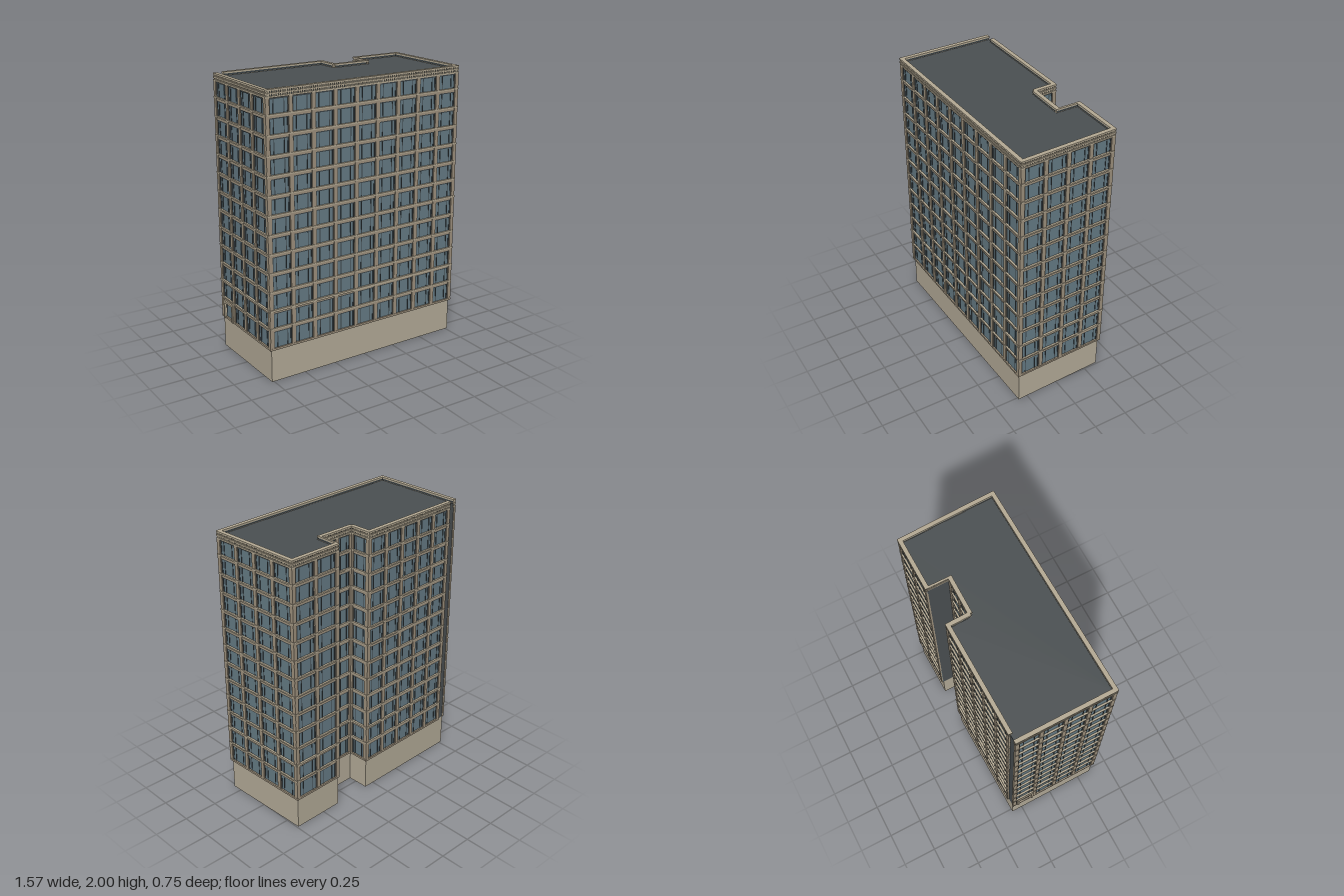
import * as THREE from 'three';
import { mergeGeometries } from 'three/addons/utils/BufferGeometryUtils.js';

const mat = (color) => new THREE.MeshStandardMaterial({ color, flatShading: true });
const mats = {
  base: mat(0xb5ac99), stone: mat(0x9f927e), trim: mat(0xb5aa94),
  glass: mat(0x667c86), frame: mat(0x3c4448), roof: mat(0x4b5052),
};

// footprint corners [x, z], walked from front left round the building
const plan = [
  [-0.765, 0.355], [0.766, 0.32], [0.74, -0.357], [0.357, -0.352],
  [0.357, -0.192], [0.083, -0.192], [0.078, -0.348], [-0.77, -0.333],
];
const backEnd = [-0.715, -0.334]; // the back facade stops short of the corner

const FLOORS = 13, PITCH = 0.1315, FIRST = 0.383, BOTTOM = 0.235, ROOF = 1.975;
const OUT = 0.014; // how far the facade stands proud of the core

// vertical prism over the footprint
function prism(name, y0, y1, material) {
  const shape = new THREE.Shape(plan.map(([x, z]) => new THREE.Vector2(x, -z)));
  const g = new THREE.ExtrudeGeometry(shape, { depth: y1 - y0, bevelEnabled: false });
  g.rotateX(-Math.PI / 2).translate(0, y0, 0);
  const m = new THREE.Mesh(g, material);
  m.name = name;
  return m;
}

// collects boxes (given by their limits) and merges them into one mesh
function boxes() {
  const list = [];
  return {
    add(x0, x1, y0, y1, z0, z1) {
      list.push(new THREE.BoxGeometry(x1 - x0, y1 - y0, z1 - z0)
        .translate((x0 + x1) / 2, (y0 + y1) / 2, (z0 + z1) / 2));
    },
    mesh(name, material) {
      const m = new THREE.Mesh(mergeGeometries(list), material);
      m.name = name;
      return m;
    },
  };
}

// group whose x runs along the wall and whose z points outwards
function wallGroup(name, a, b) {
  const g = new THREE.Group();
  g.name = name;
  g.position.set(a[0], 0, a[1]);
  g.rotation.y = Math.atan2(a[1] - b[1], b[0] - a[0]);
  return g;
}

// glass, mullions, piers and floor bands of one wall
function facade(group, len, bays, e0, e1) {
  const glass = boxes(), frame = boxes(), piers = boxes(), bands = boxes(), ledges = boxes();
  const s = -e0, e = len + e1;
  glass.add(0, len, BOTTOM, 1.95, -0.005, 0.003);

  const p0 = s + 0.014, step = (e - s - 0.028) / bays;
  for (let i = 0; i <= bays; i++) {
    const x = p0 + i * step;
    piers.add(x - 0.014, x + 0.014, BOTTOM, 1.95, -0.004, OUT - 0.001);
    if (i === bays) break;
    // side reveals and two mullions per bay
    for (const [t, w] of [[0.11, 0.004], [0.27, 0.0025], [0.73, 0.0025], [0.89, 0.004]]) {
      frame.add(x + t * step - w, x + t * step + w, BOTTOM, 1.95, 0, 0.006);
    }
  }

  // sill course above the plinth
  bands.add(s, e, BOTTOM, 0.25, -0.004, OUT);
  for (let f = 0; f < FLOORS - 1; f++) {
    const y = FIRST + f * PITCH;
    frame.add(0, len, y - 0.021, y - 0.01, 0, 0.007);
    bands.add(s, e, y - 0.013, y + 0.005, -0.004, 0.010);
    const thick = f === 1 ? 0.005 : 0;
    ledges.add(s, e, y + 0.003 - thick, y + 0.013, -0.004, OUT + 0.002 + thick / 3);
  }
  frame.add(0, len, 1.935, 1.947, 0, 0.007);

  group.add(glass.mesh('windowGlass', mats.glass), frame.mesh('windowFrames', mats.frame),
    piers.mesh('piers', mats.stone), bands.mesh('spandrels', mats.stone),
    ledges.mesh('ledges', mats.trim));
}

// layered parapet cornice with two dentil rows
function cornice(group, len, e0, e1, out) {
  const c = boxes(), d = boxes(), back = -0.014;
  const s = -e0, e = len + e1;
  c.add(s, e, 1.945, 1.956, back, out);
  c.add(s, e, 1.966, 1.977, back, out + 0.001);
  c.add(s, e, 1.988, 2.0, back, out + 0.001);
  d.add(s + 0.006, e - 0.006, 1.955, 1.99, back + 0.001, out - 0.008);
  const n = Math.round((e - s) / 0.016);
  for (let i = 0; i < n; i++) {
    const x = s + ((i + 0.5) * (e - s)) / n;
    c.add(x - 0.004, x + 0.004, 1.956, 1.966, back + 0.002, out - 0.003);
    c.add(x - 0.004, x + 0.004, 1.977, 1.988, back + 0.002, out - 0.002);
  }
  group.add(c.mesh('cornice', mats.trim), d.mesh('corniceRecess', mats.frame));
}

export function createModel() {
  const model = new THREE.Group();
  model.name = 'officeTower';
  model.add(prism('plinth', 0, BOTTOM, mats.base));
  model.add(prism('coreAndRoof', BOTTOM, ROOF, mats.roof));

  // name, start, end, bays, extension at either end
  const walls = [
    ['frontWall', plan[0], plan[1], 9, 0.012, 0.012],
    ['leftWall', plan[1], plan[2], 4, 0.012, 0.012],
    ['backLeftWing', plan[2], plan[3], 2, 0.012, 0],
    ['notchBlankWall', plan[3], plan[4], 0, 0, 0.014],
    ['notchBack', plan[4], plan[5], 2, 0, 0],
    ['notchSide', plan[5], plan[6], 1, 0, 0.012],
    ['backRightWing', plan[6], backEnd, 5, 0.012, 0],
    ['rightWall', plan[7], plan[0], 4, 0.004, 0.012],
  ];
  for (const [name, a, b, bays, e0, e1] of walls) {
    const g = wallGroup(name, a, b);
    const len = Math.hypot(b[0] - a[0], b[1] - a[1]);
    if (bays) facade(g, len, bays, e0, e1);
    cornice(g, len, e0, e1, bays ? OUT : 0);

    // raised surround on the lowest window beside the back corner
    if (name === 'rightWall') {
      const f = boxes();
      f.add(0.035, 0.05, BOTTOM, 0.37, 0, 0.02);
      f.add(0.15, 0.165, BOTTOM, 0.37, 0, 0.02);
      f.add(0.035, 0.165, 0.355, 0.37, 0, 0.021);
      g.add(f.mesh('windowSurround', mats.trim));
    }
    model.add(g);
  }
  return model;
}
